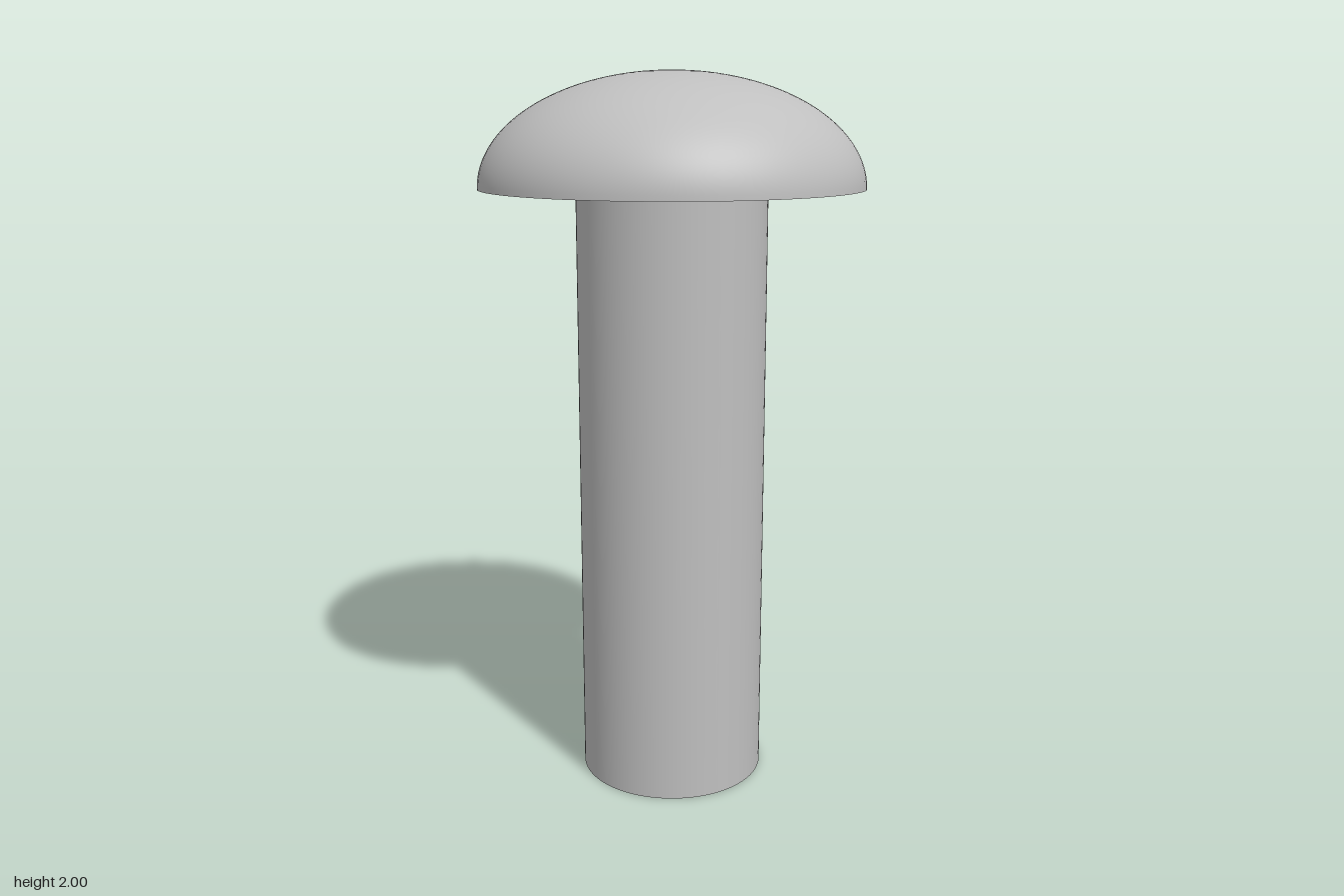
import * as THREE from 'three';

const HEAD_R = 0.525, HEAD_Y = 1.69, TOP_Y = 2;
const SHANK_R = 0.262, BORE_R = 0.185, HOLE_R = 0.03, PIN_R = 0.018;

export function createModel() {
  const group = new THREE.Group();
  const metal = new THREE.MeshStandardMaterial({ color: 0xbfbfbf });
  metal.name = 'greyMetal';

  // Each surface is revolved separately so that the rims stay sharp.
  // Profiles run anticlockwise around the solid, so faces point outwards.
  const revolve = (name, points) => {
    const profile = points.map(([r, y]) => new THREE.Vector2(r, y));
    const mesh = new THREE.Mesh(new THREE.LatheGeometry(profile, 96), metal);
    mesh.name = name;
    group.add(mesh);
  };

  // Hollow shank
  revolve('shankEnd', [[BORE_R, 0], [SHANK_R, 0]]);
  revolve('shankWall', [[SHANK_R, 0], [SHANK_R, HEAD_Y]]);
  revolve('boreWall', [[BORE_R, HEAD_Y], [BORE_R, 0]]);
  revolve('boreCeiling', [[PIN_R, HEAD_Y], [BORE_R, HEAD_Y]]);

  // Flat underside and elliptical dome of the head
  revolve('headUnderside', [[SHANK_R, HEAD_Y], [HEAD_R, HEAD_Y]]);
  const dome = [];
  const last = Math.acos(HOLE_R / HEAD_R);
  for (let i = 0; i <= 32; i++) {
    const a = (last * i) / 32;
    dome.push([HEAD_R * Math.cos(a), HEAD_Y + (TOP_Y - HEAD_Y) * Math.sin(a)]);
  }
  revolve('headDome', dome);

  // Stepped pin hole through the head
  const rimY = dome[32][1], stepY = HEAD_Y + 0.08;
  revolve('holeWall', [[HOLE_R, rimY], [HOLE_R, stepY]]);
  revolve('holeStep', [[HOLE_R, stepY], [PIN_R, stepY]]);
  revolve('pinHoleWall', [[PIN_R, stepY], [PIN_R, HEAD_Y]]);

  return group;
}
